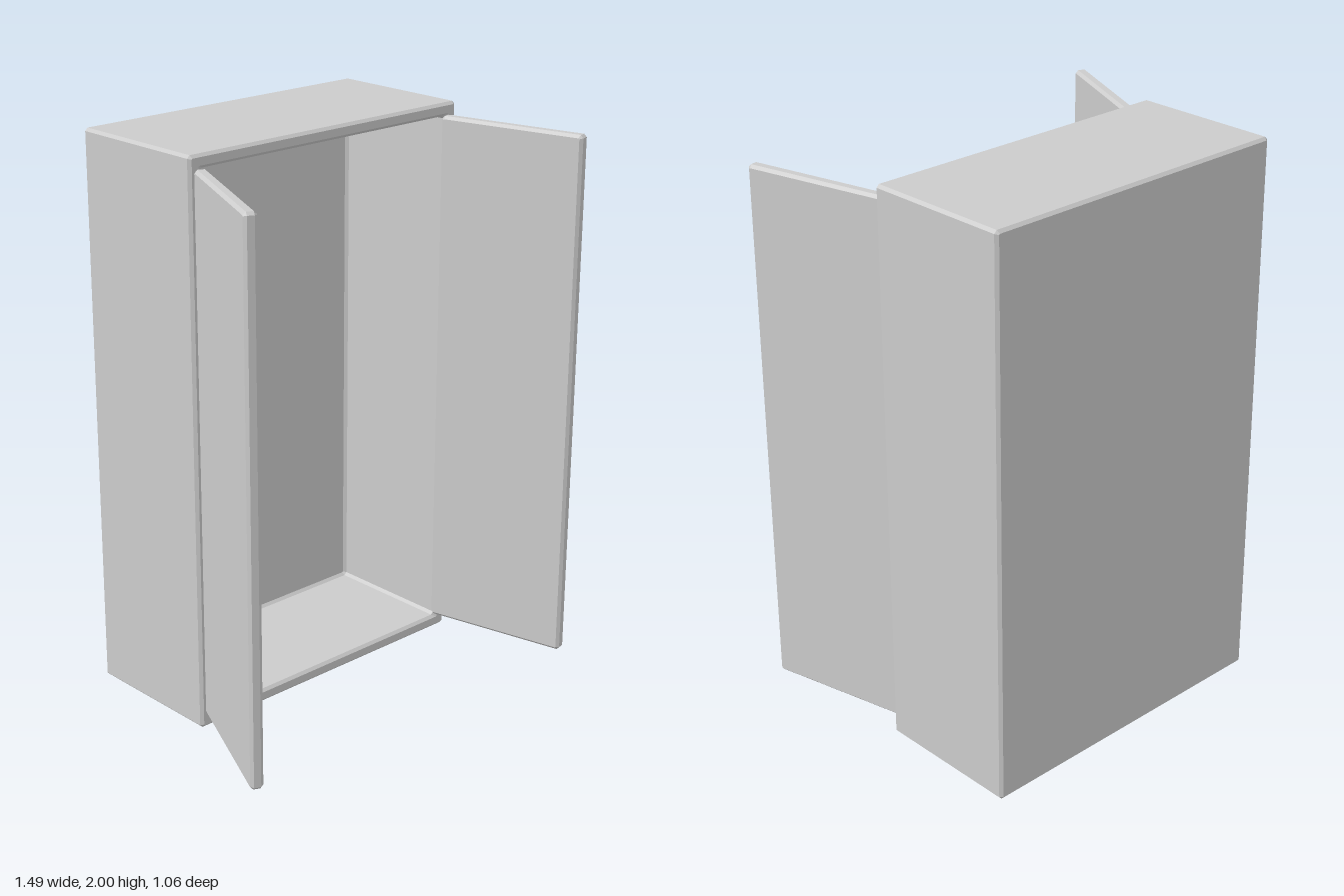
import * as THREE from 'three';

const BEVEL = 0.01;

// Chamfered rectangle: eight points, counter-clockwise seen from +z
function ring(w, h, z, c) {
  return [
    [-w + c, -h], [w - c, -h], [w, -h + c], [w, h - c],
    [w - c, h], [-w + c, h], [-w, h - c], [-w, -h + c],
  ].map(([x, y]) => new THREE.Vector3(x, y, z));
}

// Closed shell through successive rings, capped at both ends
function shell(rings) {
  const pts = [];
  const tri = (a, b, c) => pts.push(a, b, c);
  const first = rings[0], last = rings[rings.length - 1], n = first.length;
  for (let i = 1; i < n - 1; i++) {
    tri(first[0], first[i + 1], first[i]);
    tri(last[0], last[i], last[i + 1]);
  }
  for (let r = 0; r < rings.length - 1; r++) {
    const a = rings[r], b = rings[r + 1];
    for (let i = 0; i < n; i++) {
      const j = (i + 1) % n;
      tri(a[i], a[j], b[j]);
      tri(a[i], b[j], b[i]);
    }
  }
  const geometry = new THREE.BufferGeometry().setFromPoints(pts);
  geometry.computeVertexNormals();
  return geometry;
}

// Rings of a solid slab with bevelled edges, from back to front
function slabRings(w, h, d) {
  const b = BEVEL, s = b * 0.3;
  return [
    ring(w - b, h - b, -d, s), ring(w, h, -d + b, b),
    ring(w, h, d - b, b), ring(w - b, h - b, d, s),
  ];
}

export function createModel() {
  const model = new THREE.Group();
  model.name = 'cabinet';
  const material = new THREE.MeshStandardMaterial({ color: 0xcccccc, flatShading: true });

  const add = (name, geometry, x, y, z, angle = 0) => {
    const mesh = new THREE.Mesh(geometry, material);
    mesh.name = name;
    mesh.position.set(x, y, z);
    mesh.rotation.y = THREE.MathUtils.degToRad(angle);
    model.add(mesh);
  };

  // Open-fronted case: outer slab, then over the rim and into the hollow
  const w = 0.595, h = 1, d = 0.27, wall = 0.047, b = BEVEL;
  const iw = w - wall, ih = h - wall, floor = -d + wall;
  add('case', shell([
    ...slabRings(w, h, d),
    ring(iw + b, ih + b, d, b * 0.3),
    ring(iw, ih, d - b, b),
    ring(iw, ih, floor + b, b),
    ring(iw - b, ih - b, floor, b * 0.3),
  ]), 0.049, 1, -0.26);

  // Two doors swung open by different amounts
  const door = shell(slabRings(0.27, 0.95, 0.022));
  add('rightDoor', door, -0.617, 1.005, 0.26, -114.3);
  add('leftDoor', door, 0.662, 1.005, 0.26, -76.9);

  return model;
}
